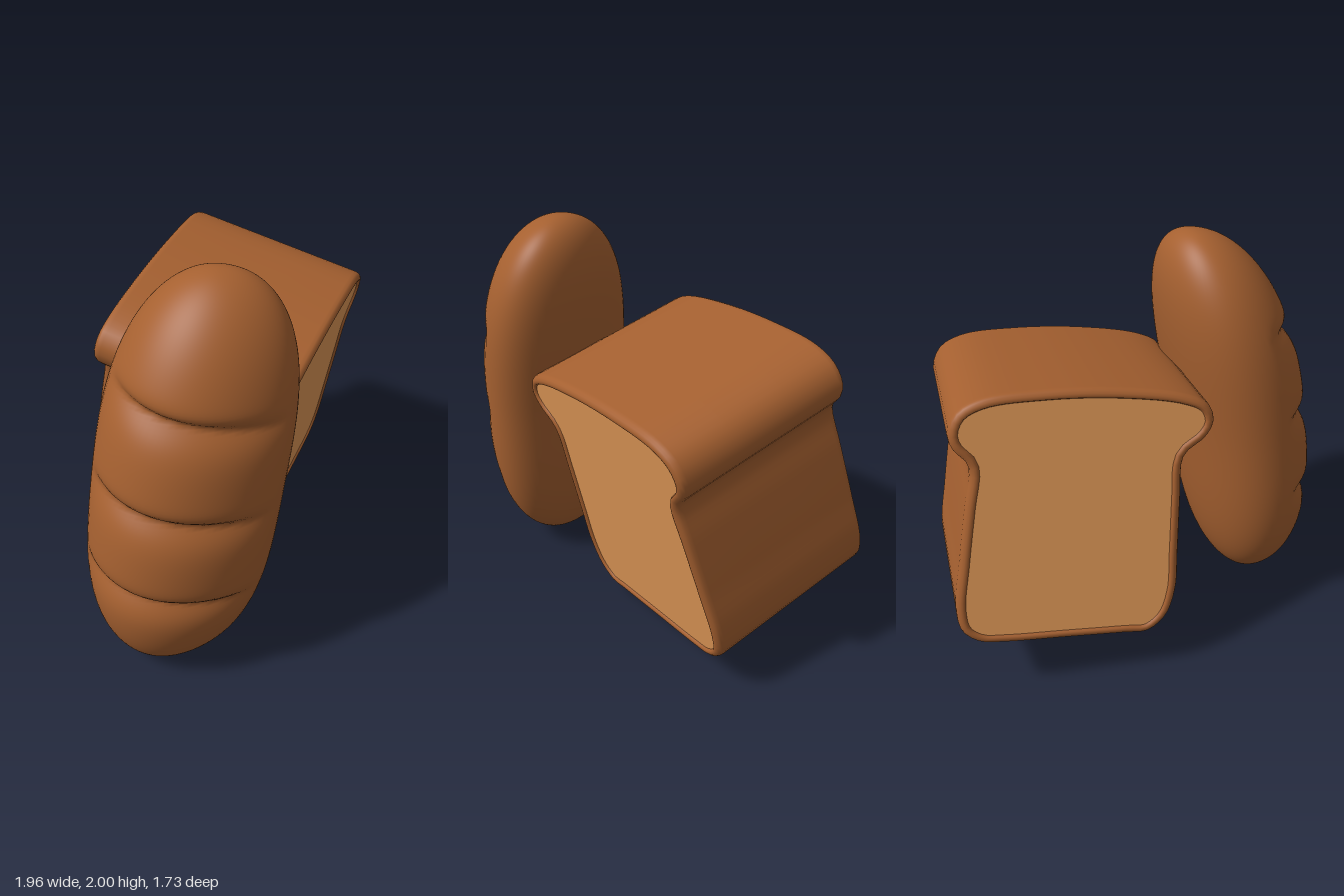
import * as THREE from 'three';

const V2 = (x, y) => new THREE.Vector2(x, y);
const V3 = (x, y, z) => new THREE.Vector3(x, y, z);

// Smooth skin over a list of closed rings with equal point counts
function loft(rings) {
  const n = rings[0].length;
  const index = [];
  for (let j = 0; j < rings.length - 1; j++) {
    for (let i = 0; i < n; i++) {
      const k = (i + 1) % n;
      const a = j * n + i, b = j * n + k;
      index.push(a, a + n, b, b, a + n, b + n);
    }
  }
  const geo = new THREE.BufferGeometry().setFromPoints(rings.flat());
  geo.setIndex(index);
  geo.computeVertexNormals();
  return geo;
}

function addMesh(parent, name, geo, material) {
  const mesh = new THREE.Mesh(geo, material);
  mesh.name = name;
  parent.add(mesh);
  return mesh;
}

// Slice outline, counterclockwise from the bottom left corner
const SLICE = [
  [-0.42, 0.002], [-0.3, 0], [0, 0], [0.3, 0], [0.42, 0.012], [0.505, 0.075], [0.535, 0.2],
  [0.52, 0.45], [0.495, 0.75], [0.478, 0.93], [0.495, 0.975], [0.55, 1.03], [0.577, 1.11],
  [0.54, 1.21], [0.43, 1.275], [0.15, 1.31], [-0.18, 1.312], [-0.5, 1.275], [-0.615, 1.225],
  [-0.652, 1.14], [-0.62, 1.06], [-0.535, 0.985], [-0.517, 0.94], [-0.525, 0.75],
  [-0.54, 0.45], [-0.548, 0.24], [-0.51, 0.085],
];

function createLoaf(crust, crumb) {
  const loaf = new THREE.Group();
  loaf.name = 'sandwichLoaf';
  const depth = 0.95, recess = 0.012, rim = 0.046;
  const curve = new THREE.CatmullRomCurve3(SLICE.map(([x, y]) => V3(x, y, 0)), true, 'centripetal');
  const outline = curve.getSpacedPoints(120).slice(0, -1);
  const n = outline.length;

  // outline moved inwards along its own normals
  const inset = (d) => outline.map((p, i) => {
    const a = outline[(i + n - 1) % n], b = outline[(i + 1) % n];
    const t = V2(b.x - a.x, b.y - a.y).normalize();
    return V2(p.x - t.y * d, p.y + t.x * d);
  });

  // rounded rim at the cut end: [inset, distance from end]
  const lip = [[rim, recess], [0.04, 0.002], [0.03, 0], [0.02, 0.002], [0.008, 0.01], [0.002, 0.022], [0, 0.04]];
  const stations = [
    ...lip, [0, depth * 0.33], [0, depth * 0.67],
    ...lip.map(([d, z]) => [d, depth - z]).reverse(),
  ];
  addMesh(loaf, 'loafCrust', loft(stations.map(([d, z]) => inset(d).map((p) => V3(p.x, p.y, -z)))), crust);

  // crumb on both cut ends
  const face = inset(rim);
  const front = addMesh(loaf, 'frontCrumb', new THREE.ShapeGeometry(new THREE.Shape(face)), crumb);
  front.position.z = -recess;
  const mirrored = face.map((p) => V2(-p.x, p.y)).reverse();
  const back = addMesh(loaf, 'backCrumb', new THREE.ShapeGeometry(new THREE.Shape(mirrored)), crumb);
  back.rotation.y = Math.PI;
  back.position.z = -depth + recess;

  // tilted pose
  const across = V3(0.914, 0.108, -0.385).normalize();
  const up = V3(0.4, -0.19, 0.895).cross(across).normalize();
  const forward = across.clone().cross(up);
  loaf.quaternion.setFromRotationMatrix(new THREE.Matrix4().makeBasis(across, up, forward));
  loaf.position.set(0.49, 0.13, 0.15);
  return loaf;
}

// Long loaf with a leaning centre line and three slanted cuts
function createLongLoaf(crust) {
  const rows = 180, sides = 72;
  const cuts = [0.62, 1.07, 1.53];
  const rings = [];
  for (let j = 0; j <= rows; j++) {
    const y = 1 - Math.cos((j / rows) * Math.PI);
    const v = y - 1;
    const r = Math.sqrt(Math.max(0, 1 - Math.abs(v) ** 3.2));
    const cx = -0.555 + 0.17 * v + 0.07 * v * v;
    const cz = 0.475 - 0.03 * v * v;
    const ring = [];
    for (let i = 0; i < sides; i++) {
      const angle = (i / sides) * Math.PI * 2;
      // cuts fade out around the side and drop towards the front
      const off = angle - 0.76 * Math.PI;
      const fade = Math.abs(off) < 1.35 ? Math.cos((off / 1.35) * Math.PI / 2) ** 0.8 : 0;
      let dent = 0;
      for (const c of cuts) {
        const dy = y - (c + (angle - Math.PI) * 0.055);
        dent += 0.2 * fade * Math.exp(-((Math.abs(dy) / (dy > 0 ? 0.035 : 0.075)) ** 1.3));
      }
      const s = r * (1 - dent);
      // section twisted more on the side that leans on the loaf
      const skew = 0.28 + 0.17 * Math.cos(angle);
      ring.push(V3(cx + 0.385 * s * Math.cos(angle), y, cz + 0.384 * s * Math.sin(angle + skew)));
    }
    rings.push(ring);
  }
  const mesh = new THREE.Mesh(loft(rings), crust);
  mesh.name = 'longLoaf';
  return mesh;
}

export function createModel() {
  const crust = new THREE.MeshStandardMaterial({ color: 0xa56030 });
  const crumb = new THREE.MeshStandardMaterial({ color: 0xe29a58 });
  const model = new THREE.Group();
  model.name = 'breads';
  model.add(createLoaf(crust, crumb), createLongLoaf(crust));
  return model;
}
